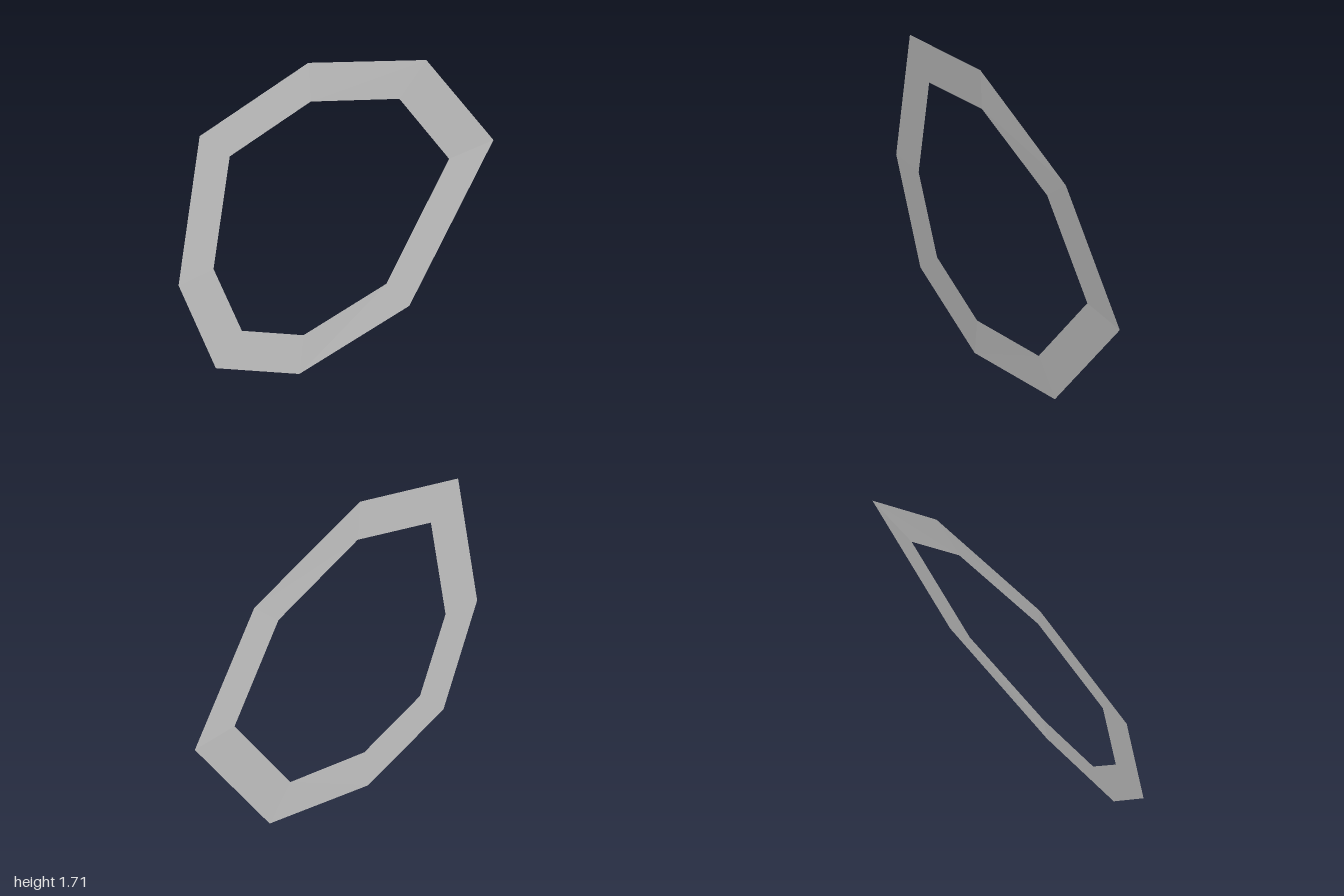
import * as THREE from 'three';

export function createModel() {
  const group = new THREE.Group();
  const grey = new THREE.MeshStandardMaterial({ color: 0xc5c5c5, side: THREE.DoubleSide, flatShading: true });
  grey.name = 'light grey';

  // Corners of the ring, clockwise from the top: [x, y, z]
  const outer = [
    [-0.2, 1.705, 0.037], [0.555, 1.457, 0.003], [1, 0.85, -0.037], [0.45, 0.13, 0.003],
    [-0.255, 0, 0.037], [-0.77, 0.202, 0.037], [-1, 0.736, 0.037], [-0.87, 1.52, 0.037],
  ];
  const inner = [
    [-0.185, 1.486, 0.038], [0.385, 1.3, 0.008], [0.715, 0.846, -0.023], [0.305, 0.303, 0.008],
    [-0.23, 0.207, 0.038], [-0.61, 0.357, 0.038], [-0.785, 0.757, 0.038], [-0.685, 1.347, 0.038],
  ];

  // One thin panel between each pair of corners, bent back towards the tip
  const points = [];
  outer.forEach((a, i) => {
    const j = (i + 1) % outer.length;
    const b = outer[j], c = inner[j], d = inner[i];
    points.push(...a, ...d, ...b, ...b, ...d, ...c);
  });
  const geometry = new THREE.BufferGeometry();
  geometry.setAttribute('position', new THREE.Float32BufferAttribute(points, 3));
  geometry.computeVertexNormals();

  const ring = new THREE.Mesh(geometry, grey);
  ring.name = 'ring';
  group.add(ring);
  return group;
}
